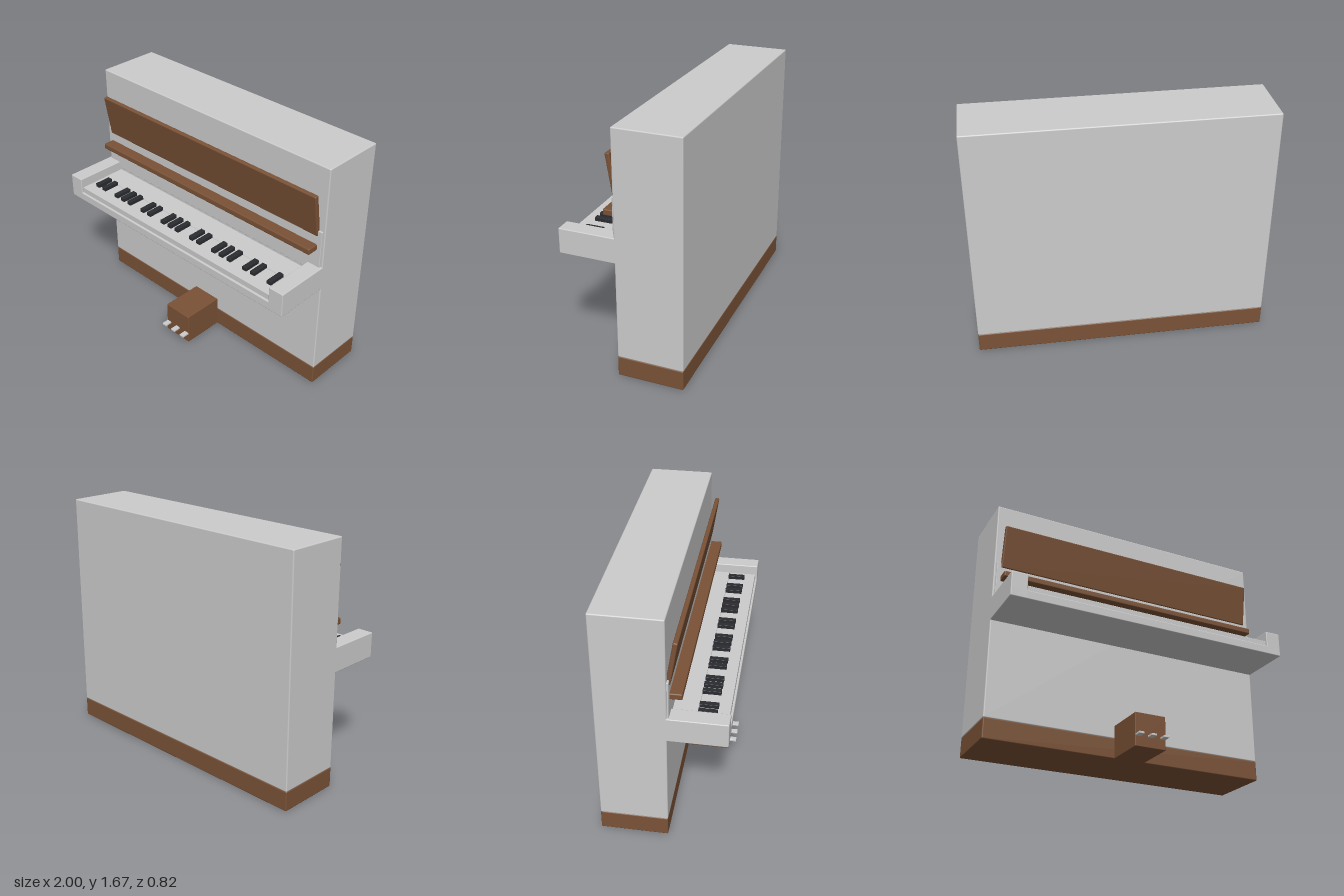
import * as THREE from 'three';
import { RoundedBoxGeometry } from 'three/addons/geometries/RoundedBoxGeometry.js';

const grey = new THREE.MeshStandardMaterial({ color: 0xcccccc });
const wood = new THREE.MeshStandardMaterial({ color: 0x7a5236 });
const ebony = new THREE.MeshStandardMaterial({ color: 0x2b2c30 });

// Softly bevelled box given by its extents on each axis
function block(name, material, [x0, x1], [y0, y1], [z0, z1], bevel = 0.008) {
  const size = [x1 - x0, y1 - y0, z1 - z0];
  const radius = Math.min(bevel, Math.min(...size) / 4);
  const mesh = new THREE.Mesh(new RoundedBoxGeometry(...size, 2, radius), material);
  mesh.position.set((x0 + x1) / 2, (y0 + y1) / 2, (z0 + z1) / 2);
  mesh.name = name;
  return mesh;
}

export function createModel() {
  const piano = new THREE.Group();
  piano.name = 'uprightPiano';

  // Case and plinth
  piano.add(
    block('plinth', wood, [-1, 1], [0, 0.138], [-0.41, 0.035]),
    block('case', grey, [-1, 1], [0.136, 1.67], [-0.41, 0.035]),
    block('frontPanel', grey, [-0.985, 0.985], [0.925, 1.23], [0, 0.047], 0.004)
  );

  // Keyboard shelf with cheek blocks
  piano.add(block('keybed', grey, [-1, 1], [0.8, 0.86], [0, 0.41], 0.006));
  for (const side of [-1, 1]) {
    const xs = [side * 0.89, side].sort((a, b) => a - b);
    piano.add(block(side > 0 ? 'leftCheek' : 'rightCheek', grey, xs, [0.8, 0.97], [0, 0.41], 0.006));
  }

  // White keys as one strip, with the rail behind them
  piano.add(
    block('whiteKeys', grey, [-0.892, 0.892], [0.85, 0.9], [0.2, 0.395], 0.003),
    block('keyRail', grey, [-0.892, 0.892], [0.85, 0.902], [0, 0.2], 0.002)
  );

  // Black keys in groups of two and three
  const blackKeys = new THREE.Group();
  blackKeys.name = 'blackKeys';
  for (let i = 0; i <= 24; i++) {
    if (![0, 1, 3, 4, 5].includes(i % 7)) continue;
    const x = -0.82 + i * 0.0681;
    blackKeys.add(block('blackKey', ebony, [x - 0.0175, x + 0.0175], [0.89, 0.925], [0.2, 0.32], 0.002));
  }
  piano.add(blackKeys);

  // Ledge and leaning music desk
  const desk = block('musicDesk', wood, [-0.955, 0.955], [1.19, 1.492], [0.044, 0.074]);
  desk.position.z = 0.061;
  desk.rotation.x = 0.16;
  piano.add(desk, block('musicLedge', wood, [-0.955, 0.955], [1.088, 1.13], [0.04, 0.125]));

  // Pedal box and three pedals
  piano.add(block('pedalBox', wood, [-0.108, 0.108], [0, 0.225], [0, 0.33], 0.004));
  for (const x of [-0.088, 0, 0.088]) {
    piano.add(block('pedal', grey, [x - 0.0185, x + 0.0185], [0.068, 0.083], [0.3, 0.382], 0.003));
  }
  return piano;
}
